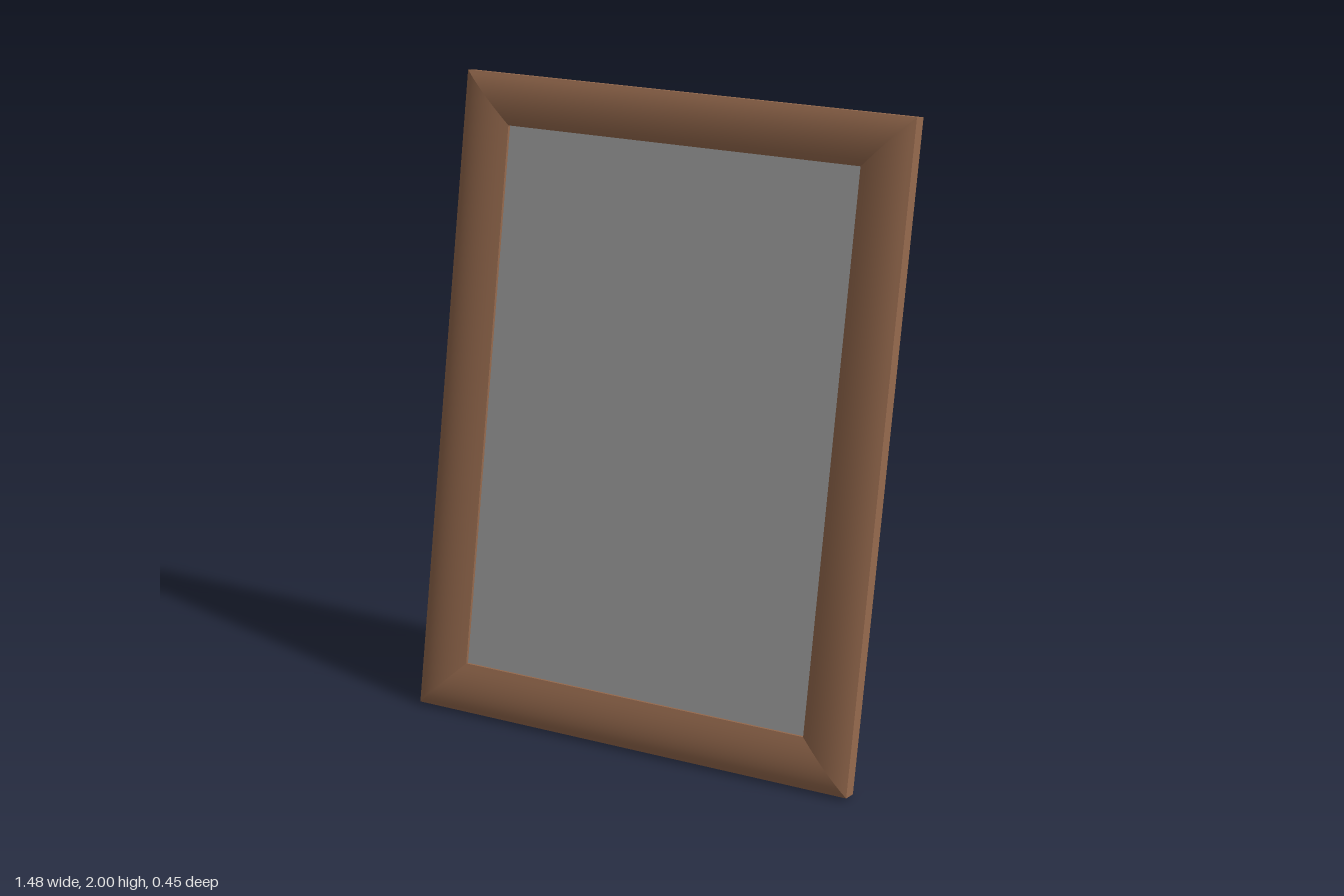
import * as THREE from 'three';
import { toCreasedNormals } from 'three/addons/utils/BufferGeometryUtils.js';

const WIDTH = 1.484, HEIGHT = 2.026, RAIL = 0.157, TILT = 0.197;

// Moulding section: x runs inward from the outer edge, y is the depth from the back.
function mouldingProfile() {
  const shape = new THREE.Shape();
  shape.moveTo(0, 0);
  shape.lineTo(RAIL, 0);
  shape.lineTo(RAIL, 0.053);
  shape.quadraticCurveTo(RAIL * 0.4, 0.078, 0, 0.054);
  shape.closePath();
  return shape;
}

// Straight rail with both ends cut to 45 degrees.
function mitredRail(length) {
  const geo = new THREE.ExtrudeGeometry(mouldingProfile(), { depth: 1, bevelEnabled: false, curveSegments: 10 });
  const p = geo.attributes.position;
  for (let i = 0; i < p.count; i++) {
    const inward = p.getX(i), depth = p.getY(i), along = p.getZ(i) - 0.5;
    p.setXYZ(i, along * (length - 2 * inward), inward, depth);
  }
  return toCreasedNormals(geo, 0.5);
}

export function createModel() {
  const wood = new THREE.MeshStandardMaterial({ color: 0x966a4e });
  wood.name = 'brownWood';
  const grey = new THREE.MeshStandardMaterial({ color: 0xa4a4a4 });
  grey.name = 'greyPanel';

  const model = new THREE.Group();
  model.name = 'pictureFrame';
  const leaning = new THREE.Group();
  leaning.name = 'leaningFrame';
  model.add(leaning);

  // Four rails, turned in quarter steps around the centre
  ['bottomRail', 'leftRail', 'topRail', 'rightRail'].forEach((name, i) => {
    const upright = i % 2 === 1;
    const geo = mitredRail(upright ? HEIGHT : WIDTH);
    geo.translate(0, -(upright ? WIDTH : HEIGHT) / 2, 0);
    geo.rotateZ(i * Math.PI / 2);
    const rail = new THREE.Mesh(geo, wood);
    rail.name = name;
    leaning.add(rail);
  });

  // Panel set between the rails, recessed on both sides
  const panel = new THREE.Mesh(
    new THREE.BoxGeometry(WIDTH - 2 * RAIL, HEIGHT - 2 * RAIL, 0.028), grey);
  panel.name = 'picturePanel';
  panel.position.z = 0.028;
  leaning.add(panel);

  // Lean back, then stand on the ground and centre
  leaning.rotation.x = -TILT;
  model.updateMatrixWorld(true);
  const box = new THREE.Box3().setFromObject(model, true);
  leaning.position.set(0, -box.min.y, -(box.min.z + box.max.z) / 2);
  return model;
}
